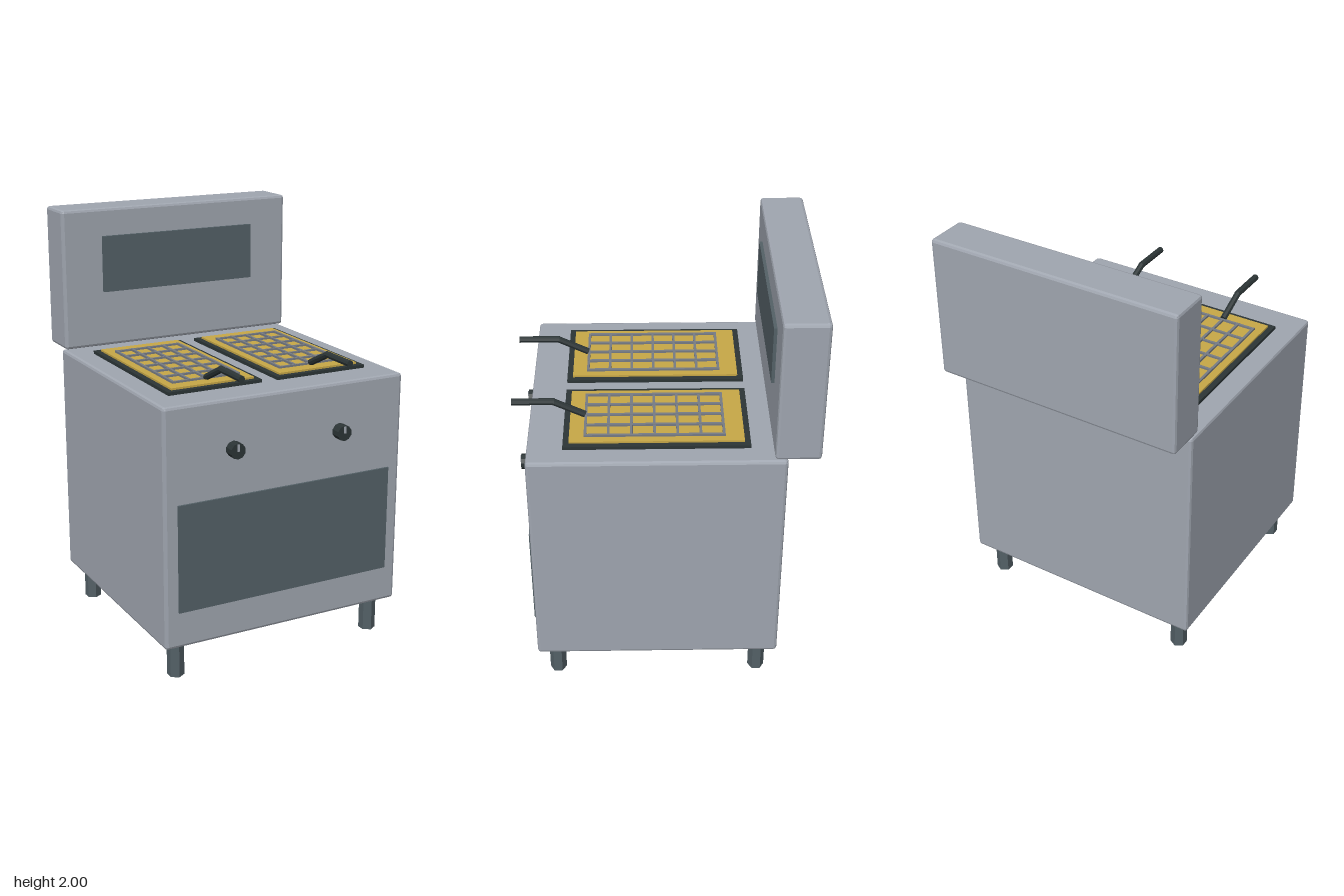
import * as THREE from 'three';
import { RoundedBoxGeometry } from 'three/addons/geometries/RoundedBoxGeometry.js';

const material = (name, color) => {
  const m = new THREE.MeshStandardMaterial({ color, flatShading: true });
  m.name = name;
  return m;
};

export function createModel() {
  const steel = material('brushed steel', 0xa0a6b0);
  const slate = material('slate panel', 0x546167);
  const black = material('black iron', 0x2c3536);
  const oil = material('golden oil', 0xc8a847);
  const wire = material('rack wire', 0x777c85);

  const model = new THREE.Group();
  model.name = 'fryerStove';

  const add = (parent, name, geometry, mat) => {
    const mesh = new THREE.Mesh(geometry, mat);
    mesh.name = name;
    parent.add(mesh);
    return mesh;
  };
  // Box given by its lower and upper corners; a bevel chamfers its edges
  const box = (parent, name, mat, [x0, y0, z0], [x1, y1, z1], bevel = 0) => {
    const size = [x1 - x0, y1 - y0, z1 - z0];
    const geometry = bevel ? new RoundedBoxGeometry(...size, 1, bevel) : new THREE.BoxGeometry(...size);
    const mesh = add(parent, name, geometry, mat);
    mesh.position.set((x0 + x1) / 2, (y0 + y1) / 2, (z0 + z1) / 2);
    return mesh;
  };
  // Straight rod between two points
  const rod = (parent, name, mat, a, b, radius, sides) => {
    const from = new THREE.Vector3(...a), to = new THREE.Vector3(...b);
    const dir = to.clone().sub(from);
    const mesh = add(parent, name, new THREE.CylinderGeometry(radius, radius, dir.length(), sides), mat);
    mesh.position.copy(from).add(to).multiplyScalar(0.5);
    mesh.quaternion.setFromUnitVectors(new THREE.Vector3(0, 1, 0), dir.normalize());
    return mesh;
  };

  // Cabinet and upright back panel
  box(model, 'cabinet', steel, [-0.615, 0.175, -0.545], [0.615, 1.31, 0.615], 0.014);
  box(model, 'backPanel', steel, [-0.615, 1.317, -0.69], [0.615, 2, -0.485], 0.014);
  box(model, 'backDisplay', slate, [-0.41, 1.59, -0.49], [0.41, 1.865, -0.47]);
  box(model, 'frontDoor', slate, [-0.55, 0.35, 0.61], [0.55, 0.86, 0.625]);

  // Hexagonal legs
  for (const x of [-0.525, 0.525]) {
    for (const z of [-0.455, 0.525]) {
      rod(model, 'leg', slate, [x, 0, z], [x, 0.18, z], 0.04, 6);
    }
  }

  for (const side of [-1, 1]) {
    const x = side * 0.275;

    // Control knob with a pointer mark
    const knob = new THREE.Group();
    knob.name = 'knob';
    model.add(knob);
    rod(knob, 'knobBody', black, [x, 1.08, 0.61], [x, 1.08, 0.663], 0.037, 10);
    box(knob, 'knobPointer', steel, [x - 0.005, 1.08, 0.66], [x + 0.005, 1.112, 0.667]);

    // Frying well: dark rim with the oil surface on top
    const fryer = new THREE.Group();
    fryer.name = 'fryer';
    fryer.position.x = x;
    model.add(fryer);
    box(fryer, 'wellRim', black, [-0.235, 1.305, -0.387], [0.235, 1.325, 0.453]);
    box(fryer, 'oilSurface', oil, [-0.208, 1.32, -0.36], [0.208, 1.334, 0.426]);

    // Wire rack: 4 by 6 openings
    const rack = new THREE.Group();
    rack.name = 'rack';
    fryer.add(rack);
    const bar = 0.006, halfWidth = 0.165, back = -0.27, front = 0.354;
    for (let i = 0; i <= 4; i++) {
      const bx = -halfWidth + (i / 4) * 2 * halfWidth;
      box(rack, 'lengthwiseWire', wire, [bx - bar, 1.332, back - bar], [bx + bar, 1.344, front + bar]);
    }
    for (let j = 0; j <= 6; j++) {
      const bz = back + (j / 6) * (front - back);
      box(rack, 'crossWire', wire, [-halfWidth - bar, 1.331, bz - bar], [halfWidth + bar, 1.343, bz + bar]);
    }

    // Bent basket handle
    rod(fryer, 'handleArm', black, [0, 1.343, 0.358], [0, 1.413, 0.502], 0.016, 8);
    rod(fryer, 'handleGrip', black, [0, 1.413, 0.495], [0, 1.413, 0.69], 0.016, 8);
  }

  return model;
}
